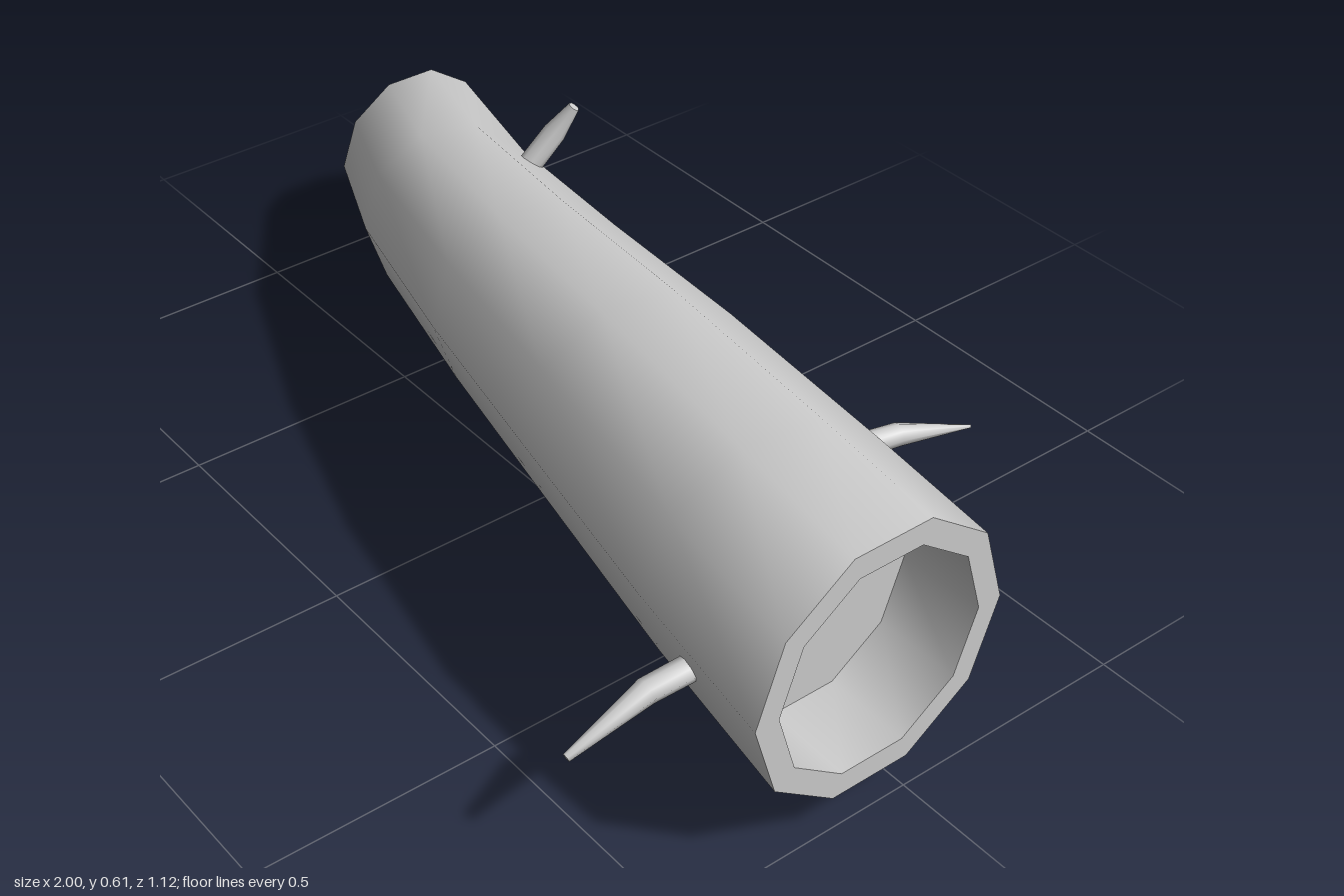
import * as THREE from 'three';

const material = new THREE.MeshStandardMaterial({ color: 0xcccccc, side: THREE.DoubleSide });
const V = (x, y, z) => new THREE.Vector3(x, y, z);
const X = V(1, 0, 0), Y = V(0, 1, 0);

// Closed ring of points around a centre, square to the tangent
function ring(centre, tangent, ref, ru, rv, sides) {
  const v = ref.clone().addScaledVector(tangent, -ref.dot(tangent)).normalize();
  const u = tangent.clone().cross(v);
  return Array.from({ length: sides }, (_, i) => {
    const a = (i / sides) * Math.PI * 2;
    return centre.clone().addScaledVector(u, Math.cos(a) * ru).addScaledVector(v, Math.sin(a) * rv);
  });
}

// Skin between successive rings, smooth within one mesh
function loft(name, rings) {
  const n = rings[0].length, index = [];
  for (let i = 0; i < rings.length - 1; i++) {
    for (let j = 0; j < n; j++) {
      const a = i * n + j, b = i * n + (j + 1) % n;
      index.push(a, a + n, b, b, a + n, b + n);
    }
  }
  const geometry = new THREE.BufferGeometry().setFromPoints(rings.flat());
  geometry.setIndex(index);
  geometry.computeVertexNormals();
  const mesh = new THREE.Mesh(geometry, material);
  mesh.name = name;
  return mesh;
}

function tangentAt(points, i) {
  const a = points[Math.max(i - 1, 0)], b = points[Math.min(i + 1, points.length - 1)];
  return b.clone().sub(a).normalize();
}

const pointRing = (p, n) => Array.from({ length: n }, () => p.clone());

// Hollow end: flat rim, straight cavity wall and cavity floor
function hollowEnd(name, outer, centre, dir, scale, depth) {
  const group = new THREE.Group();
  group.name = name;
  const floorCentre = centre.clone().addScaledVector(X, -dir * depth);
  const inner = outer.map(p => p.clone().sub(centre).multiplyScalar(scale).add(centre));
  const deep = inner.map(p => p.clone().sub(centre).multiplyScalar(0.97).add(floorCentre));
  const skin = (part, a, b) => group.add(loft(part, dir > 0 ? [a, b] : [b, a]));
  skin('rim', outer, inner);
  skin('cavityWall', inner, deep);
  skin('cavityFloor', deep, pointRing(floorCentre, deep.length));
  return group;
}

// Bent, tapering branch stub with flat ends
function twig(name, points, radii) {
  const group = new THREE.Group();
  group.name = name;
  const sides = 8;
  const rings = points.map((p, i) => ring(p, tangentAt(points, i), X, radii[i], radii[i], sides));
  group.add(loft('stem', rings));
  group.add(loft('base', [pointRing(points[0], sides), rings[0]]));
  group.add(loft('tip', [rings[2], pointRing(points[2], sides)]));
  return group;
}

export function createModel() {
  const model = new THREE.Group();
  model.name = 'hollowLog';

  // Trunk: centre x, y, z, then sideways and upright radius
  const sections = [
    [-1, 0.212, -0.375, 0.185, 0.171],
    [-0.59, 0.29, -0.202, 0.194, 0.194],
    [-0.155, 0.348, -0.085, 0.215, 0.213],
    [0.265, 0.381, 0, 0.237, 0.236],
    [0.7, 0.375, 0.067, 0.258, 0.258],
    [1, 0.336, 0.086, 0.271, 0.272],
  ];
  const spine = sections.map(([x, y, z]) => V(x, y, z));
  const last = spine.length - 1;
  const rings = sections.map(([, , , ru, rv], i) =>
    ring(spine[i], i === 0 || i === last ? X : tangentAt(spine, i), Y, ru, rv, 10));
  model.add(loft('bark', rings));
  model.add(hollowEnd('wideEnd', rings[last], spine[last], 1, 0.815, 0.17));
  model.add(hollowEnd('narrowEnd', rings[0], spine[0], -1, 0.78, 0.15));

  // Branch stubs
  model.add(twig('frontTwig',
    [V(0.785, 0.29, 0.28), V(0.785, 0.29, 0.4), V(0.775, 0.225, 0.556)], [0.025, 0.024, 0.008]));
  model.add(twig('bottomTwig',
    [V(-0.012, 0.17, -0.06), V(-0.01, 0.07, -0.053), V(-0.03, 0.008, -0.05)], [0.025, 0.026, 0.008]));
  model.add(twig('topTwig',
    [V(-0.46, 0.42, -0.285), V(-0.448, 0.495, -0.355), V(-0.425, 0.555, -0.388)], [0.025, 0.024, 0.012]));
  model.add(twig('backTwig',
    [V(0.58, 0.37, -0.205), V(0.61, 0.376, -0.32), V(0.653, 0.355, -0.462)], [0.024, 0.022, 0.003]));
  model.add(twig('lowerBackTwig',
    [V(-0.71, 0.155, -0.4), V(-0.692, 0.11, -0.45), V(-0.65, 0.1, -0.502)], [0.025, 0.023, 0.016]));
  return model;
}
